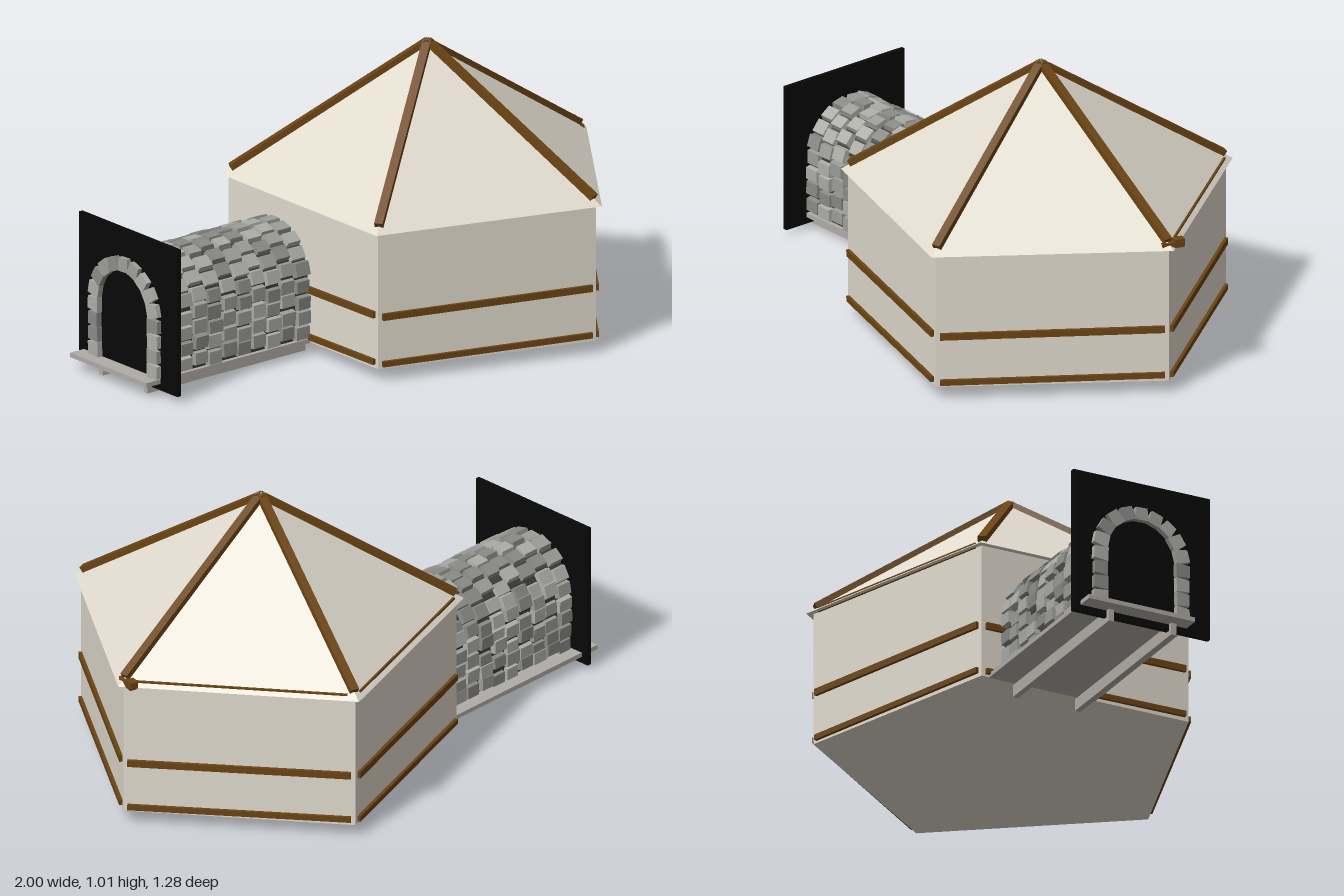
import * as THREE from 'three';
import { mergeGeometries } from 'three/addons/utils/BufferGeometryUtils.js';

const mat = (color) => new THREE.MeshStandardMaterial({ color, flatShading: true });
const plaster = mat(0xe0dacd);
const wood = mat(0x6b4414);
const black = mat(0x080808);
const mortar = mat(0x3c3c3a);
const slabGrey = mat(0xb0aca6);
const stones = [mat(0x8a8a87), mat(0x9c9c98), mat(0xadada8)];

// small seeded generator for irregular masonry
let seed = 7;
const rand = () => (seed = (seed * 16807) % 2147483647) / 2147483647;
const jitter = (a) => (rand() - 0.5) * 2 * a;

function add(parent, name, geometry, material, x = 0, y = 0, z = 0) {
  const m = new THREE.Mesh(geometry, material);
  m.name = name;
  m.position.set(x, y, z);
  parent.add(m);
  return m;
}

// square timber running from a to b
function beam(parent, name, a, b, w, h) {
  const m = new THREE.Mesh(new THREE.BoxGeometry(w, h, a.distanceTo(b)), wood);
  m.name = name;
  m.position.copy(a).lerp(b, 0.5);
  m.lookAt(b);
  parent.add(m);
}

// corner of the five-sided hut; corner 0 points to the back
function corner(i, r, y) {
  const a = Math.PI + (i * Math.PI * 2) / 5;
  return new THREE.Vector3(r * Math.sin(a), y, r * Math.cos(a));
}

function buildHut() {
  const hut = new THREE.Group();
  hut.name = 'hut';
  hut.position.set(0.33, 0, 0.067);
  add(hut, 'walls', new THREE.CylinderGeometry(0.68, 0.68, 0.49, 5), plaster, 0, 0.29, 0).rotation.y = Math.PI;
  add(hut, 'roof', new THREE.ConeGeometry(0.705, 0.465, 5), plaster, 0, 0.7675, 0).rotation.y = Math.PI;

  for (let i = 0; i < 5; i++) {
    beam(hut, 'rafter', new THREE.Vector3(0, 1.0, 0), corner(i, 0.672, 0.56), 0.03, 0.026);
    // wall rails, a little crooked
    for (const [y, h] of [[0.236, 0.024], [0.066, 0.02]]) {
      const a = corner(i, 0.682, y - 0.003), b = corner(i + 1, 0.682, y + 0.003);
      beam(hut, 'wallRail', a.clone().lerp(b, 0.02), a.clone().lerp(b, 0.98), 0.02, h);
    }
  }
  // eave timbers of the two back walls, meeting in a knot at one corner
  for (const i of [0, 4]) {
    const a = corner(i, 0.675, 0.543), b = corner(i + 1, 0.675, 0.543);
    beam(hut, 'eaveTimber', a.clone().lerp(b, 0.03), b.clone().lerp(a, 0.03), 0.02, 0.02);
  }
  add(hut, 'eaveKnot', new THREE.BoxGeometry(0.025, 0.02, 0.08), wood, 0.638, 0.545, -0.225);
  add(hut, 'eaveKnot', new THREE.BoxGeometry(0.03, 0.025, 0.035), wood, 0.635, 0.552, -0.25);
  return hut;
}

const FLOOR = 0.058, SPRING = 0.27;

// tapered stone at distance s along an arch profile of radius r
function stone(s, r, z, thick, tall, deep) {
  const g = new THREE.BoxGeometry(thick, tall, deep);
  const p = g.attributes.position;
  for (let i = 0; i < p.count; i++) {
    if (p.getX(i) > 0) p.setXYZ(i, p.getX(i), p.getY(i) * 0.84, p.getZ(i) * 0.86);
  }
  const h = SPRING - FLOOR, arc = Math.PI * r;
  const angle = Math.min(Math.max((s - h) / r, 0), Math.PI);
  let y = SPRING + r * Math.sin(angle);
  if (s < h) y = FLOOR + s;
  if (s > h + arc) y = SPRING - (s - h - arc);
  g.rotateZ(angle + jitter(0.05));
  g.translate(r * Math.cos(angle), y, z);
  return g;
}

function buildTunnel() {
  const tunnel = new THREE.Group();
  tunnel.name = 'tunnel';
  tunnel.position.set(-0.86, 0, 0.312);
  tunnel.rotation.y = -Math.PI * 0.4;

  // floor plate on two runners
  add(tunnel, 'floorPlate', new THREE.BoxGeometry(0.41, 0.016, 0.73), slabGrey, -0.031, 0.052, -0.295);
  for (const x of [0.115, -0.125]) {
    add(tunnel, 'floorRunner', new THREE.BoxGeometry(0.02, 0.044, 0.7), slabGrey, x, 0.022, -0.325);
  }
  add(tunnel, 'darkPanel', new THREE.BoxGeometry(0.527, 0.53, 0.016), black, 0, 0.285, 0);

  // mortar shell behind the stones
  const ro = 0.166, ri = 0.14;
  const shell = new THREE.Shape();
  shell.moveTo(ro, FLOOR);
  shell.lineTo(ro, SPRING);
  shell.absarc(0, SPRING, ro, 0, Math.PI, false);
  shell.lineTo(-ro, FLOOR);
  shell.lineTo(-ri, FLOOR);
  shell.lineTo(-ri, SPRING);
  shell.absarc(0, SPRING, ri, Math.PI, 0, true);
  shell.lineTo(ri, FLOOR);
  const shellGeo = new THREE.ExtrudeGeometry(shell, { depth: 0.66, bevelEnabled: false, curveSegments: 16 });
  add(tunnel, 'mortarShell', shellGeo, mortar, -0.008, 0, -0.664);

  // rings of staggered stones, sorted by shade
  const shades = stones.map(() => []);
  const put = (g) => shades[Math.floor(rand() * 3)].push(g);
  const r = 0.168, rings = 10, rows = 17;
  const length = 2 * (SPRING - FLOOR) + Math.PI * r, step = length / rows;
  for (let k = 0; k < rings; k++) {
    const shift = k % 2 ? 0 : 0.25;
    for (let j = 0; j < rows; j++) {
      const s = Math.min(Math.max((j + 0.5 + shift) * step + jitter(0.004), step / 2), length - step / 2);
      put(stone(s, r + jitter(0.004), -0.04 - k * 0.065 + jitter(0.004), 0.032,
        step * (0.94 + jitter(0.06)), 0.064 + jitter(0.004)));
    }
  }
  // entrance arch in front of the dark panel
  const ra = 0.158, archRows = 17;
  const archLength = 2 * (SPRING - FLOOR) + Math.PI * ra;
  for (let j = 0; j < archRows; j++) {
    put(stone((j + 0.5) * archLength / archRows, ra, 0.012, 0.052 + jitter(0.004),
      archLength / archRows * 0.97, 0.034 + jitter(0.004)));
  }
  shades.forEach((list, i) => add(tunnel, 'stonework', mergeGeometries(list), stones[i], -0.008, 0, 0));
  return tunnel;
}

export function createModel() {
  seed = 7;
  const model = new THREE.Group();
  model.name = 'hutWithTunnel';
  model.add(buildHut(), buildTunnel());
  return model;
}
